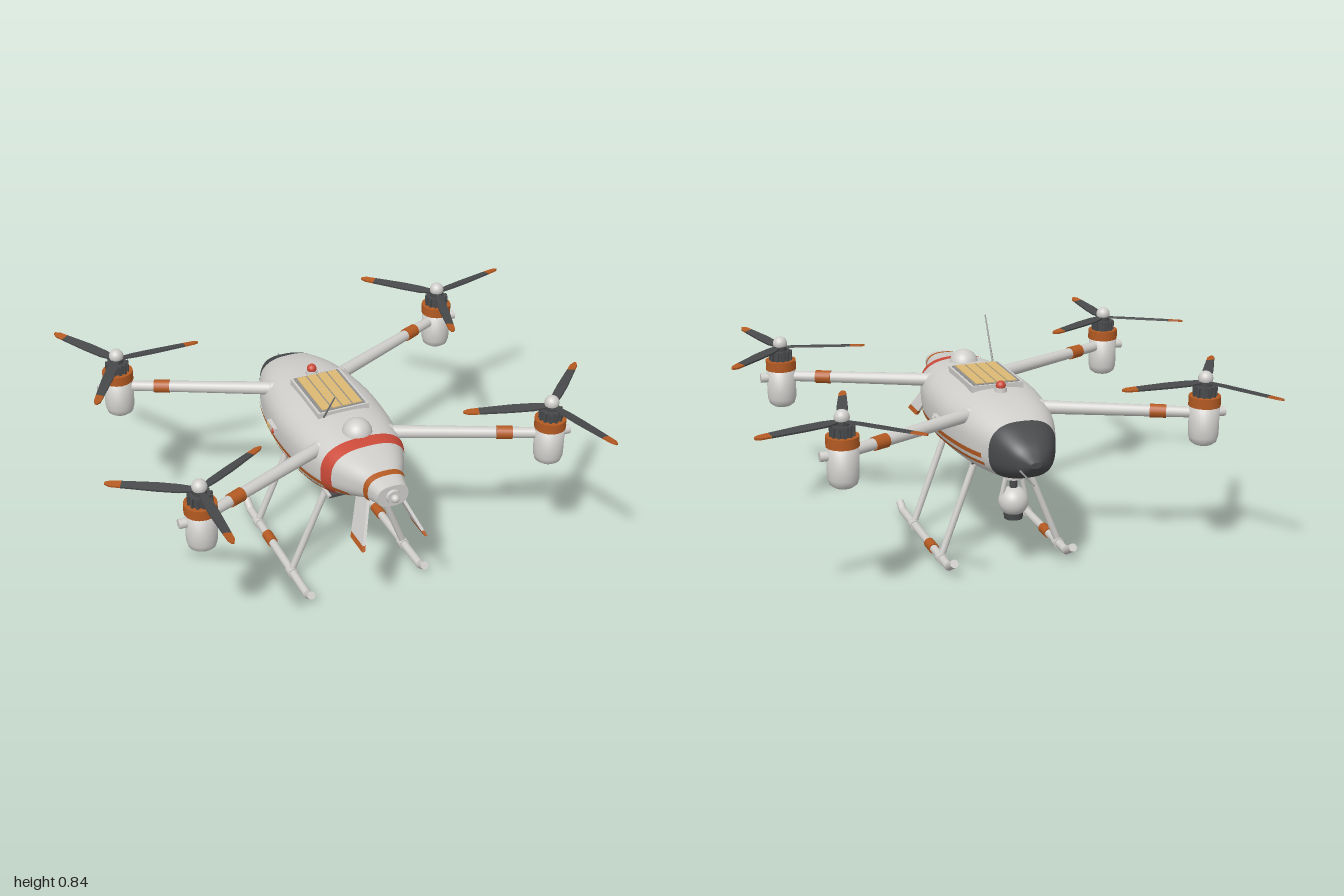
import * as THREE from 'three';

const paint = (name, hex) => {
  const m = new THREE.MeshStandardMaterial({ color: hex });
  m.name = name;
  return m;
};

// fuselage stations: z, half width, top y, bottom y
const STATIONS = [
  [-0.58, 0.02, 0.51, 0.488], [-0.555, 0.06, 0.55, 0.457], [-0.51, 0.095, 0.585, 0.43],
  [-0.435, 0.13, 0.622, 0.405], [-0.3, 0.175, 0.655, 0.392], [-0.1, 0.204, 0.67, 0.388],
  [0.08, 0.202, 0.67, 0.393], [0.2, 0.186, 0.665, 0.406], [0.3, 0.16, 0.654, 0.434],
  [0.4, 0.115, 0.638, 0.478], [0.46, 0.083, 0.627, 0.502], [0.55, 0.06, 0.612, 0.525],
];
const POWER = 2.6;

// smooth interpolation of the stations -> half width, centre y, half height
function profile(z) {
  let i = 0;
  while (i < STATIONS.length - 2 && z > STATIONS[i + 1][0]) i++;
  const a = STATIONS[i], b = STATIONS[i + 1], h = b[0] - a[0], t = (z - a[0]) / h;
  const slope = (j, k) => {
    const p = STATIONS[Math.max(j - 1, 0)], q = STATIONS[Math.min(j + 1, STATIONS.length - 1)];
    return (q[k] - p[k]) / (q[0] - p[0]);
  };
  const at = (k) => (1 + 2 * t) * (1 - t) ** 2 * a[k] + t * (1 - t) ** 2 * h * slope(i, k)
    + t * t * (3 - 2 * t) * b[k] + t * t * (t - 1) * h * slope(i + 1, k);
  const top = at(2), bottom = at(3);
  return { w: at(1), c: (top + bottom) / 2, h: (top - bottom) / 2 };
}
const soft = (v) => Math.sign(v) * Math.abs(v) ** (2 / POWER);
function hullPoint(z, t, off = 0) {
  const p = profile(z);
  return [(p.w + off) * soft(Math.cos(t)), p.c + (p.h + off) * soft(Math.sin(t)), z];
}
// hull angle of the +x side at a given height
function angleAt(z, y) {
  const p = profile(z), v = THREE.MathUtils.clamp((y - p.c) / p.h, -1, 1);
  return Math.asin(Math.sign(v) * Math.abs(v) ** (POWER / 2));
}

// patch of hull surface; without a range it wraps all the way round
function skin(z0, z1, nz, off, range) {
  const nt = range ? 3 : 64, cols = range ? nt + 1 : nt, pos = [], idx = [];
  for (let i = 0; i <= nz; i++) {
    const z = z0 + (z1 - z0) * i / nz;
    const [t0, t1] = range ? range(z) : [0, Math.PI * 2];
    for (let j = 0; j < cols; j++) pos.push(...hullPoint(z, t0 + (t1 - t0) * j / nt, off));
    if (i === nz) break;
    for (let j = 0; j < nt; j++) {
      const a = i * cols + j, b = i * cols + (j + 1) % cols;
      idx.push(a, b, a + cols, b, b + cols, a + cols);
    }
  }
  const g = new THREE.BufferGeometry();
  g.setAttribute('position', new THREE.Float32BufferAttribute(pos, 3));
  g.setIndex(idx);
  g.computeVertexNormals();
  return g;
}

export function createModel() {
  const shell = paint('shell grey', 0xcfcecb), dark = paint('charcoal', 0x48494b);
  const orange = paint('burnt orange', 0xb45a22), red = paint('signal red', 0xcb4a39);
  const tan = paint('cell tan', 0xdcb974), steel = paint('steel grey', 0x8e8f8e);
  const model = new THREE.Group();
  model.name = 'surveyDrone';
  const craft = new THREE.Group();
  craft.name = 'craft';
  craft.position.x = -0.02;
  model.add(craft);

  const add = (name, geo, mat, x = 0, y = 0, z = 0, parent = craft) => {
    const m = new THREE.Mesh(geo, mat);
    m.name = name;
    m.position.set(x, y, z);
    parent.add(m);
    return m;
  };
  const box = (name, w, h, d, mat, x, y, z) => add(name, new THREE.BoxGeometry(w, h, d), mat, x, y, z);
  const ball = (name, r, mat, x, y, z) => add(name, new THREE.SphereGeometry(r, 24, 16), mat, x, y, z);
  const rod = (name, a, b, r0, r1, mat) => {
    const p = new THREE.Vector3(...a), q = new THREE.Vector3(...b), d = q.clone().sub(p);
    const m = add(name, new THREE.CylinderGeometry(r1, r0, d.length(), 16), mat);
    m.position.copy(p).add(q).multiplyScalar(0.5);
    m.quaternion.setFromUnitVectors(new THREE.Vector3(0, 1, 0), d.normalize());
    return m;
  };

  // fuselage, dark cap and painted bands
  add('fuselage', skin(-0.435, 0.55, 60, 0), shell);
  add('darkCap', skin(-0.58, -0.435, 14, 0), dark);
  add('redBand', skin(0.285, 0.338, 5, 0.004), red);
  add('tailBand', skin(0.475, 0.5, 3, 0.004), orange);
  const endCap = (z, depth) => {
    const pts = [];
    for (let i = 0; i < 40; i++) pts.push(new THREE.Vector2(...hullPoint(z, i * Math.PI / 20)));
    return new THREE.ExtrudeGeometry(new THREE.Shape(pts), { depth, bevelEnabled: false });
  };
  add('tailCap', endCap(0.55, 0.006), shell, 0, 0, 0.548);
  add('rearTip', endCap(-0.58, 0.004), dark, 0, 0, -0.582);
  rod('tailBoss', [0, 0.568, 0.55], [0, 0.568, 0.563], 0.03, 0.026, shell);
  ball('tailLight', 0.016, shell, 0, 0.568, 0.572);

  // paired stripes, side pods, lights and tail fins
  for (const s of [1, -1]) {
    for (const [z0, z1, y, h] of [[-0.4, 0.4, 0.494, 0.009], [-0.41, 0.345, 0.465, 0.006]]) {
      add('sideStripe', skin(z0, z1, 40, 0.004, (z) => {
        const lift = z > 0.2 ? (z - 0.2) * 0.06 : 0;
        const lo = angleAt(z, y + lift - h), hi = angleAt(z, y + lift + h);
        return s > 0 ? [lo, hi] : [Math.PI - hi, Math.PI - lo];
      }), orange);
    }
    box('sidePod', 0.03, 0.027, 0.075, shell, s * 0.205, 0.538, -0.085);
    box('podWindow', 0.006, 0.018, 0.025, tan, s * 0.221, 0.538, -0.102);
    ball('sideLight', 0.012, s > 0 ? shell : red, s * 0.214, 0.538, -0.06);

    const finPart = (name, f0, f1, mat) => {
      // slanted quad prism between two fractions of the fin's span
      const at = (f, edge, side) => [s * (0.06 + 0.065 * f) + side * 0.006, 0.52 - 0.148 * f,
        edge ? 0.385 + 0.09 * f : 0.475 + 0.105 * f];
      const c = [];
      for (const f of [f0, f1]) for (const e of [0, 1]) for (const d of [-1, 1]) c.push(...at(f, e, d));
      const g = new THREE.BufferGeometry();
      g.setAttribute('position', new THREE.Float32BufferAttribute(c, 3));
      g.setIndex([0, 1, 3, 0, 3, 2, 4, 7, 5, 4, 6, 7, 0, 5, 1, 0, 4, 5, 2, 3, 7, 2, 7, 6, 0, 2, 6, 0, 6, 4, 1, 7, 3, 1, 5, 7]);
      const flat = g.toNonIndexed();
      flat.computeVertexNormals();
      add(name, flat, mat);
    };
    finPart('tailFin', 0, 0.88, shell);
    finPart('finTip', 0.88, 1, orange);
  }

  // equipment on the back
  box('solarFrame', 0.205, 0.03, 0.28, shell, 0, 0.667, -0.028);
  box('solarBed', 0.185, 0.004, 0.262, steel, 0, 0.683, -0.028);
  for (let i = 0; i < 4; i++) box('solarStrip', 0.036, 0.004, 0.25, tan, -0.063 + i * 0.042, 0.686, -0.028);
  ball('topDome', 0.057, shell, 0, 0.65, 0.235);
  rod('beaconBase', [0, 0.655, -0.2], [0, 0.68, -0.2], 0.025, 0.022, shell);
  ball('beacon', 0.019, red, 0, 0.686, -0.2);
  rod('whipAntenna', [-0.08, 0.65, 0.1], [-0.095, 0.835, 0.25], 0.004, 0.0025, steel);
  rod('rearProbe', [0.052, 0.478, -0.53], [0.054, 0.472, -0.7], 0.004, 0.0025, steel);

  // belly plate and cargo panel
  box('bellyPlate', 0.23, 0.012, 0.44, dark, 0, 0.392, 0.02);
  for (const s of [1, -1]) box('bellyRail', 0.012, 0.01, 0.44, shell, s * 0.112, 0.394, 0.02);
  box('bellyPanel', 0.16, 0.016, 0.27, tan, 0, 0.379, 0.025);

  // camera ball
  rod('cameraMount', [0, 0.4, -0.345], [0, 0.372, -0.345], 0.04, 0.038, shell);
  rod('cameraNeck', [0, 0.375, -0.345], [0, 0.325, -0.345], 0.015, 0.015, dark);
  for (const s of [1, -1]) rod('cameraYoke', [s * 0.03, 0.378, -0.345], [s * 0.05, 0.29, -0.345], 0.009, 0.009, shell);
  ball('cameraBall', 0.057, shell, 0, 0.28, -0.345);
  rod('cameraLens', [0, 0.245, -0.345], [0, 0.212, -0.345], 0.038, 0.035, dark);

  // landing gear
  for (const s of [1, -1]) {
    const x = s * 0.238, y = 0.022;
    for (const z of [0.175, -0.182]) {
      rod('leg', [s * 0.095, 0.395, z], [x, 0.03, z - 0.018], 0.013, 0.013, shell);
      rod('legClamp', [x, y, z - 0.035], [x, y, z - 0.001], 0.021, 0.021, shell);
    }
    rod('skid', [x, y, 0.32], [x, y, -0.295], 0.016, 0.016, shell);
    rod('skidFrontEnd', [x, y, 0.315], [x, 0.045, 0.355], 0.016, 0.016, shell);
    rod('skidRearEnd', [x, y, -0.29], [x, 0.062, -0.36], 0.016, 0.016, shell);
    rod('skidBand', [x, y, -0.045], [x, y, -0.107], 0.021, 0.021, orange);
  }

  // rotor shapes
  const pod = new THREE.LatheGeometry([[0, 0.48], [0.035, 0.483], [0.05, 0.494], [0.056, 0.515], [0.057, 0.54],
    [0.057, 0.635], [0, 0.637]].map((p) => new THREE.Vector2(...p)), 28);
  const blade = (pts) => new THREE.ExtrudeGeometry(new THREE.Shape(pts.map((p) => new THREE.Vector2(...p))),
    { depth: 0.007, bevelEnabled: false }).translate(0, 0, -0.0035).rotateX(Math.PI / 2 - 0.18);
  const bladeGeo = blade([[0.015, -0.011], [0.07, -0.02], [0.15, -0.02], [0.275, -0.015],
    [0.275, 0.015], [0.15, 0.02], [0.07, 0.018], [0.015, 0.011]]);
  const tipGeo = blade([[0.275, -0.015], [0.315, -0.013], [0.333, -0.004], [0.333, 0.005], [0.315, 0.013], [0.275, 0.015]]);

  // four arms, each with motor and three-bladed rotor
  for (const [s, zi, zo, turn] of [[-1, -0.25, -0.51, 0], [1, -0.25, -0.51, -15], [-1, 0.21, 0.455, 90], [1, 0.21, 0.455, 75]]) {
    const x = s * 0.69, at = (t) => [s * (0.14 + 0.55 * t), 0.603, zi + (zo - zi) * t];
    rod('arm', at(-0.05), at(1), 0.026, 0.02, shell);
    ball('armJoint', 0.03, shell, ...at(0));
    rod('armBand', at(0.67), at(0.77), 0.026, 0.025, orange);
    rod('armStub', [x, 0.6, zo], [x + s * 0.083, 0.6, zo], 0.018, 0.018, shell);
    add('motorPod', pod, shell, x, 0, zo);
    rod('motorRing', [x, 0.632, zo], [x, 0.67, zo], 0.06, 0.06, orange);
    rod('motorCore', [x, 0.665, zo], [x, 0.708, zo], 0.039, 0.039, dark);
    for (let i = 0; i < 12; i++) {
      const a = i * Math.PI / 6;
      box('coolingRib', 0.014, 0.036, 0.009, dark, x + 0.039 * Math.cos(a), 0.688, zo + 0.039 * Math.sin(a)).rotation.y = -a;
    }
    rod('rotorHub', [x, 0.705, zo], [x, 0.738, zo], 0.026, 0.026, dark);
    ball('hubDome', 0.028, shell, x, 0.736, zo);
    for (let i = 0; i < 3; i++) {
      const a = -THREE.MathUtils.degToRad(turn + i * 120);
      add('blade', bladeGeo, dark, x, 0.722, zo).rotation.y = a;
      add('bladeTip', tipGeo, orange, x, 0.722, zo).rotation.y = a;
    }
  }
  return model;
}
